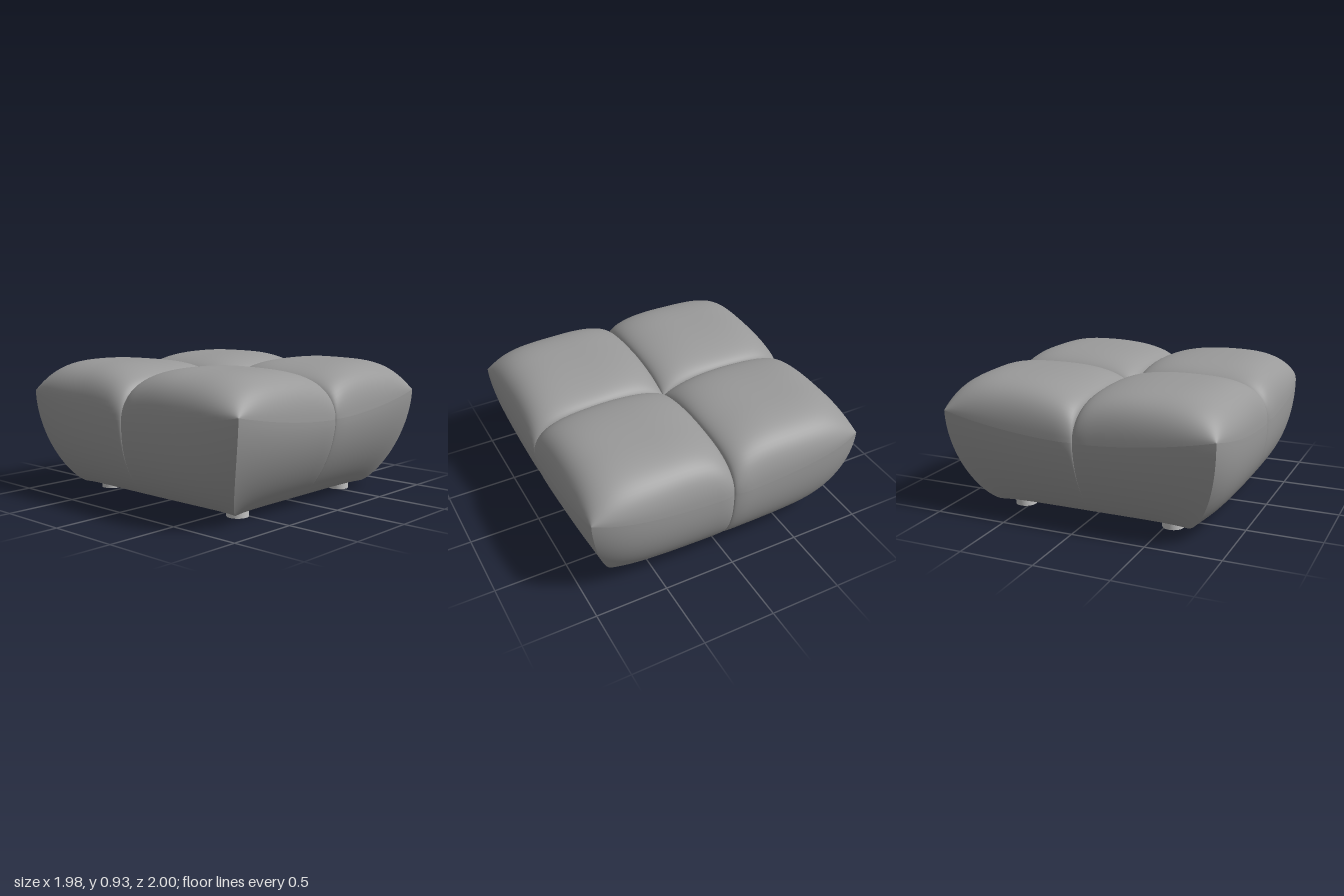
import * as THREE from 'three';

const FLOOR = 0.045, PEAK = 0.935, N = 40;
const lerp = THREE.MathUtils.lerp;

// Rounded dip where two neighbouring cushions meet (0 at the seam, 1 away from it)
const groove = (q) => {
  const k = 1 - Math.min(q / 0.12, 1);
  return Math.sqrt(Math.max(0, 1 - k * k));
};
// Upright wall curve: flat at the base, swelling out to the piped seam
const swell = (h, a, b, k, j) =>
  a + (b - a) * Math.pow(Math.max(0, 1 - Math.pow(1 - h, k)), 1 / j);
// Distance of the front wall from the centre
const wallZ = (s, h) =>
  lerp(swell(h, 0.62, 1.0, 2.2, 2), swell(h, 0.68, 0.935, 2, 1.5), Math.pow(s, 6))
  - 0.03 * h * (1 - groove(s));
// Distance of the side wall from the centre
const wallX = (t, h) =>
  lerp(swell(h, 0.69, 0.99, 1.7, 1.3), swell(h, 0.72, 0.97, 1.7, 1.3), Math.pow(t, 6))
  - 0.02 * h * (1 - groove(t));
// Height of the seam between wall and cushion, and of the valley between cushions
const seamY = (q) => 0.6 + 0.11 * Math.pow(q, 1.8);
const valleyY = (q) =>
  0.6 + 0.22 * Math.sqrt(Math.max(0, 1 - Math.pow(q, 5)))
  - 0.08 * Math.pow(Math.max(0, 1 - q / 0.5), 2);
const wallY = (q, h) => lerp(FLOOR, seamY(q), h);
// Pillow rise from edge to edge
const puff = (q, p, n) => {
  const u = q < p ? Math.pow((p - q) / p, 2.5) : Math.pow((q - p) / (1 - p), n);
  return Math.sqrt(Math.max(0, 1 - u));
};

// Cushion height: blend of the four edge curves plus the pillow rise
function cushionY(s, t) {
  const base = (1 - t) * valleyY(s) + t * seamY(s) + (1 - s) * valleyY(t) + s * seamY(t)
    - ((1 - s) * (1 - t) * 0.74 + (s * (1 - t) + t * (1 - s)) * 0.6 + s * t * 0.71);
  return base + (PEAK - base) * puff(s, 0.42, 4) * puff(t, 0.55, 2.5);
}

// Samples are denser near edges; walls are denser near the floor
const ease = (w) => (1 - Math.cos(Math.PI * w)) / 2;
const square = (w) => w * w;

const panels = [
  { name: 'cushionTop', flip: true, ev: ease,
    at: (s, t) => [s * wallX(t, 1), cushionY(s, t), t * wallZ(s, 1)] },
  { name: 'endWall', flip: false, ev: square,
    at: (s, h) => [s * wallX(1, h), wallY(s, h), wallZ(s, h)] },
  { name: 'sideWall', flip: true, ev: square,
    at: (t, h) => [wallX(t, h), wallY(t, h), t * wallZ(1, h)] },
  { name: 'underside', flip: false, ev: ease,
    at: (s, t) => [s * wallX(t, 0), FLOOR, t * wallZ(s, 0)] },
];

// Grid surface for one panel, mirrored into a quadrant
function panelGeometry({ at, flip, ev }, sx, sz) {
  const pos = [], idx = [];
  const turn = flip !== (sx * sz < 0);
  for (let j = 0; j <= N; j++) {
    for (let i = 0; i <= N; i++) {
      const [x, y, z] = at(ease(i / N), ev(j / N));
      pos.push(x * sx, y, z * sz);
      if (i === N || j === N) continue;
      const a = j * (N + 1) + i, b = a + 1, c = a + N + 1, d = c + 1;
      if (turn) idx.push(a, d, b, a, c, d);
      else idx.push(a, b, d, a, d, c);
    }
  }
  const g = new THREE.BufferGeometry();
  g.setAttribute('position', new THREE.Float32BufferAttribute(pos, 3));
  g.setIndex(idx);
  g.computeVertexNormals();
  return g;
}

export function createModel() {
  const upholstery = new THREE.MeshStandardMaterial({ color: 0x9a9a9a });
  upholstery.name = 'grey upholstery';
  const footGrey = new THREE.MeshStandardMaterial({ color: 0xc4c4c4 });
  footGrey.name = 'light grey feet';

  const model = new THREE.Group();
  model.name = 'tuftedPouf';
  const footGeometry = new THREE.CylinderGeometry(0.073, 0.073, 0.05, 32);

  for (const sx of [1, -1]) {
    for (const sz of [1, -1]) {
      const quarter = new THREE.Group();
      quarter.name = `${sz > 0 ? 'front' : 'back'}${sx > 0 ? 'Left' : 'Right'}Quarter`;
      for (const panel of panels) {
        const mesh = new THREE.Mesh(panelGeometry(panel, sx, sz), upholstery);
        mesh.name = panel.name;
        quarter.add(mesh);
      }
      // Short round foot
      const foot = new THREE.Mesh(footGeometry, footGrey);
      foot.name = 'foot';
      foot.position.set(0.615 * sx, 0.025, 0.545 * sz);
      quarter.add(foot);
      model.add(quarter);
    }
  }
  return model;
}
